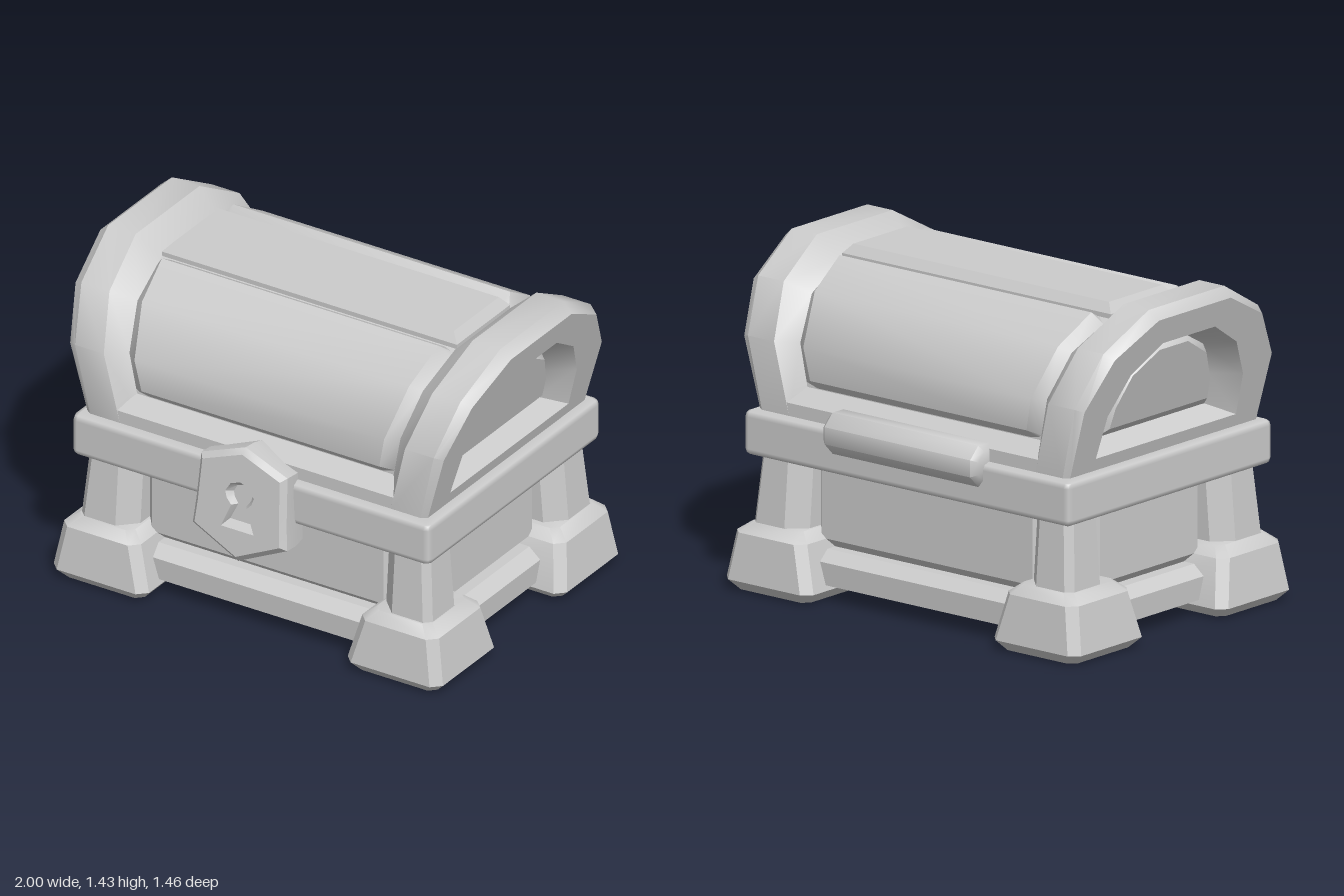
import * as THREE from 'three';
import { toCreasedNormals } from 'three/addons/utils/BufferGeometryUtils.js';
import { RoundedBoxGeometry } from 'three/addons/geometries/RoundedBoxGeometry.js';

const material = new THREE.MeshStandardMaterial({ color: 0xcccccc });

function addMesh(parent, name, geometry) {
  const mesh = new THREE.Mesh(geometry, material);
  mesh.name = name;
  parent.add(mesh);
  return mesh;
}

// Closed solid skinned through rings of [x, y, z] points, both ends capped;
// the winding is turned outwards by the sign of the volume.
function loft(rings, crease = 0.6) {
  const n = rings[0].length;
  const pts = rings.flat().map((p) => new THREE.Vector3(...p));
  const tris = [];
  for (let r = 0; r < rings.length - 1; r++) {
    for (let i = 0; i < n; i++) {
      const a = r * n + i, b = r * n + (i + 1) % n;
      tris.push([a, b, b + n], [a, b + n, a + n]);
    }
  }
  for (const start of [0, (rings.length - 1) * n]) {
    const centre = new THREE.Vector3();
    for (let i = 0; i < n; i++) centre.addScaledVector(pts[start + i], 1 / n);
    const c = pts.push(centre) - 1;
    for (let i = 0; i < n; i++) {
      const a = start + i, b = start + (i + 1) % n;
      tris.push(start === 0 ? [c, b, a] : [c, a, b]);
    }
  }
  let volume = 0;
  const cross = new THREE.Vector3();
  for (const [a, b, c] of tris) volume += pts[a].dot(cross.crossVectors(pts[b], pts[c]));
  const out = [];
  for (const [a, b, c] of tris) {
    for (const k of volume < 0 ? [a, c, b] : [a, b, c]) out.push(...pts[k].toArray());
  }
  const geometry = new THREE.BufferGeometry();
  geometry.setAttribute('position', new THREE.Float32BufferAttribute(out, 3));
  return toCreasedNormals(geometry, crease);
}

// Horizontal rectangle at height y, and one with cut corners
const block = (y, hx, hz) => [[-hx, y, -hz], [hx, y, -hz], [hx, y, hz], [-hx, y, hz]];
const cutRect = (y, x0, x1, z0, z1, c) => [
  [x0 + c, y, z0], [x1 - c, y, z0], [x1, y, z0 + c], [x1, y, z1 - c],
  [x1 - c, y, z1], [x0 + c, y, z1], [x0, y, z1 - c], [x0, y, z0 + c],
];

// Symmetric closed loop of [z, y] from its right half
const mirrorLoop = (half) => [...half, ...half.slice().reverse().map(([z, y]) => [-z, y])];

// Lid arch loops, bottom to top
const outerArch = mirrorLoop([[0.608, 0.76], [0.615, 1.07], [0.49, 1.29], [0.24, 1.43]]);
const edgeArch = mirrorLoop([[0.59, 0.76], [0.595, 1.06], [0.468, 1.265], [0.228, 1.39]]);
const coreArch = mirrorLoop([[0.53, 0.76], [0.535, 1.06], [0.42, 1.24], [0.21, 1.34]]);
const openingArch = mirrorLoop([[0.445, 0.82], [0.43, 1.005], [0.335, 1.17], [0.165, 1.275]]);
const grooveArch = mirrorLoop([[0.35, 0.87], [0.33, 1.01], [0.25, 1.16], [0.1, 1.24]]);
const endPanelArch = mirrorLoop([[0.31, 0.91], [0.3, 1.0], [0.235, 1.13], [0.09, 1.215]]);

// x that leans outwards with height, from x0 at the rim to x1 at the top
const lean = (x0, x1) => (y) => x0 + (x1 - x0) * (y - 0.76) / 0.64;
const ringAt = (loop, fx, s = 1) => loop.map(([z, y]) => [s * fx(y), y, z]);

function buildBase(chest) {
  // Plinth of bevelled rails around a shallow recessed floor
  addMesh(chest, 'bottomRails', loft([
    block(0.085, 0.65, 0.4), block(0.045, 0.7, 0.45), block(0.045, 0.75, 0.51),
    block(0.068, 0.82, 0.575), block(0.165, 0.825, 0.58), block(0.205, 0.765, 0.52),
  ], 0.4));
  addMesh(chest, 'bodyCore', loft([block(0.15, 0.71, 0.47), block(0.62, 0.71, 0.47)]));

  // Bevelled wall panels
  for (const s of [-1, 1]) {
    const wall = (w, y0, y1, d) => [[-w, y0, d * s], [w, y0, d * s], [w, y1, d * s], [-w, y1, d * s]];
    const turn = (ring) => ring.map(([x, y, z]) => [z, y, x]);
    addMesh(chest, s > 0 ? 'frontPanel' : 'backPanel',
      loft([wall(0.61, 0.2, 0.58, 0.465), wall(0.565, 0.245, 0.55, 0.515)]));
    addMesh(chest, s > 0 ? 'leftPanel' : 'rightPanel',
      loft([turn(wall(0.355, 0.2, 0.58, 0.705)), turn(wall(0.31, 0.245, 0.55, 0.755))]));
  }

  // Corner posts and feet
  const postRing = (y, x1, z1) => {
    const x0 = 0.6, z0 = 0.355, c = 0.075, d = 0.03;
    return [[x0, y, z0], [x1 - c, y, z0], [x1, y, z0 + c], [x1, y, z1 - d],
      [x1 - d, y, z1], [x0 + c, y, z1], [x0, y, z1 - c]];
  };
  const post = [postRing(0.24, 0.86, 0.625), postRing(0.6, 0.83, 0.595)];
  const foot = [
    cutRect(0, 0.525, 0.905, 0.28, 0.66, 0.03), cutRect(0.045, 0.485, 0.95, 0.235, 0.7, 0.04),
    cutRect(0.245, 0.54, 0.915, 0.285, 0.675, 0.04), cutRect(0.285, 0.59, 0.86, 0.33, 0.63, 0.03),
  ];
  for (const sx of [-1, 1]) {
    for (const sz of [-1, 1]) {
      const place = (rings) => loft(rings.map((r) => r.map(([x, y, z]) => [x * sx, y, z * sz])));
      const corner = (sz > 0 ? 'front' : 'back') + (sx > 0 ? 'Left' : 'Right');
      addMesh(chest, corner + 'Post', place(post));
      addMesh(chest, corner + 'Foot', place(foot));
    }
  }

  addMesh(chest, 'rim', new RoundedBoxGeometry(1.75, 0.195, 1.3, 1, 0.03)).position.y = 0.6675;
}

function buildLid(chest) {
  const lid = new THREE.Group();
  lid.name = 'lid';
  chest.add(lid);

  const coreX = lean(0.66, 0.77);
  addMesh(lid, 'lidCore', loft([ringAt(coreArch, coreX, -1), ringAt(coreArch, coreX)]));
  addMesh(lid, 'lidLowerRail', loft([
    block(0.75, 0.7, 0.608), block(0.82, 0.7, 0.608), block(0.88, 0.7, 0.53),
  ]));

  // Flared end arches with a recessed, bevelled panel
  const face = lean(0.83, 1.005);
  const grooveX = lean(0.603, 0.728);
  for (const s of [-1, 1]) {
    addMesh(lid, s > 0 ? 'leftArch' : 'rightArch', loft([
      ringAt(coreArch, grooveX, s),
      ringAt(outerArch, lean(0.66, 0.815), s),
      ringAt(outerArch, lean(0.805, 0.95), s),
      ringAt(edgeArch, face, s),
      ringAt(openingArch, face, s),
      ringAt(grooveArch, (y) => face(y) - 0.105, s),
      ringAt(endPanelArch, (y) => face(y) - 0.065, s),
    ]));
  }

  // Front and back planks, ends bevelled down into the groove
  const plank = [[0.53, 0.88], [0.57, 0.92], [0.578, 1.06], [0.455, 1.265], [0.27, 1.375],
    [0.2, 1.335], [0.3, 1.2]];
  const sunk = [[0.52, 0.88], [0.532, 0.9], [0.535, 1.06], [0.42, 1.24], [0.24, 1.325],
    [0.2, 1.32], [0.3, 1.2]];
  const faceX = lean(0.547, 0.68);
  for (const s of [-1, 1]) {
    const flip = (loop) => loop.map(([z, y]) => [z * s, y]);
    addMesh(lid, s > 0 ? 'frontPlank' : 'backPlank', loft([
      ringAt(flip(sunk), grooveX, -1), ringAt(flip(plank), faceX, -1),
      ringAt(flip(plank), faceX), ringAt(flip(sunk), grooveX),
    ]));
  }
  addMesh(lid, 'topPlank', loft([
    block(1.32, 0.72, 0.2), block(1.36, 0.72, 0.2), block(1.4, 0.685, 0.17),
  ]));
}

function buildFittings(chest) {
  // Six-sided lock plate with a sunken keyhole
  const mirrorX = (half) => [...half, ...half.slice(1, -1).reverse().map(([x, y]) => [-x, y])];
  const plate = mirrorX([[0, 0.25], [0.105, 0.21], [0.21, 0.17], [0.215, 0.06],
    [0.22, -0.04], [0.23, -0.15], [0, -0.26]]);
  const keyOuter = mirrorX([[0, 0.1], [0.045, 0.085], [0.07, 0.045], [0.06, 0.015],
    [0.037, -0.01], [0.08, -0.115], [0, -0.115]]);
  const keyInner = mirrorX([[0, 0.08], [0.03, 0.07], [0.046, 0.04], [0.04, 0.018],
    [0.02, -0.01], [0.055, -0.085], [0, -0.085]]);
  const flat = (loop, z, k = 1) => loop.map(([x, y]) => [x * k, y * k, z]);
  const lock = addMesh(chest, 'lockPlate', loft([
    flat(plate, -0.16, 0.95), flat(plate, -0.09), flat(plate, -0.025),
    flat(plate, 0, 0.9), flat(keyOuter, 0), flat(keyInner, -0.03),
  ]));
  lock.position.set(0, 0.64, 0.732);
  lock.rotation.x = -0.11;

  // Hinge barrel along the back
  const barrel = (x, r) => Array.from({ length: 8 }, (_, i) => {
    const a = (i + 0.5) * Math.PI / 4;
    return [x, 0.75 + r * Math.sin(a), -0.615 + r * Math.cos(a)];
  });
  addMesh(chest, 'hingeBarrel', loft([
    barrel(-0.415, 0.07), barrel(-0.39, 0.095), barrel(0.39, 0.095), barrel(0.415, 0.07),
  ], 0.85));
}

export function createModel() {
  const model = new THREE.Group();
  model.name = 'chest';
  const chest = new THREE.Group();
  chest.name = 'chestBody';
  chest.position.z = -0.027;
  model.add(chest);
  buildBase(chest);
  buildLid(chest);
  buildFittings(chest);
  return model;
}
